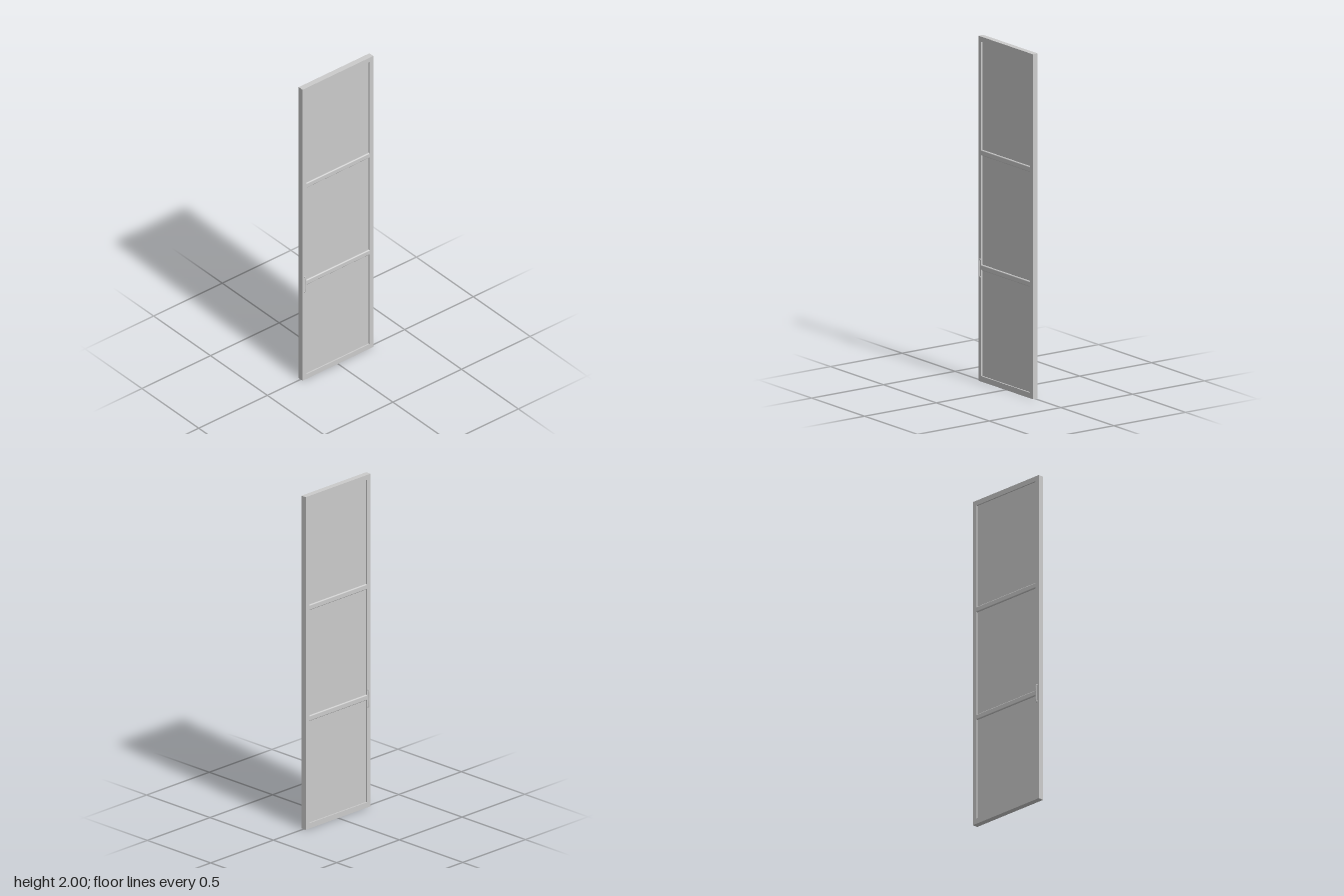
import * as THREE from 'three';
import { RoundedBoxGeometry } from 'three/addons/geometries/RoundedBoxGeometry.js';

const mat = new THREE.MeshStandardMaterial({ color: 0xcccccc });
const HX = 0.017;   // half thickness
const HZ = 0.258;   // half width
const STILE = 0.028;

export function createModel() {
  const group = new THREE.Group();
  group.name = 'panelDoor';
  const add = (name, geometry, x, y, z) => {
    const mesh = new THREE.Mesh(geometry, mat);
    mesh.name = name;
    mesh.position.set(x, y, z);
    group.add(mesh);
    return mesh;
  };

  // Outer frame: one profile with a rectangular opening
  const rect = (path, z0, y0, z1, y1) =>
    path.moveTo(z0, y0).lineTo(z1, y0).lineTo(z1, y1).lineTo(z0, y1).closePath();
  const outline = rect(new THREE.Shape(), -HZ, 0, HZ, 2);
  outline.holes.push(rect(new THREE.Path(), -HZ + STILE, 0.032, HZ - STILE, 1.97));
  const frame = new THREE.ExtrudeGeometry(outline, { depth: 2 * HX, bevelEnabled: false });
  frame.translate(0, 0, -HX).rotateY(Math.PI / 2);
  add('outerFrame', frame, 0, 0, 0);

  // Softly rounded cross rails
  for (const y of [0.661, 1.327])
    add('crossRail', new RoundedBoxGeometry(2 * HX, 0.033, 2 * (HZ - STILE) + 0.02, 3, 0.006), 0, y, 0);

  // Recessed infill panels
  for (const [y0, y1] of [[0.03, 0.65], [0.67, 1.32], [1.335, 1.972]])
    add('infillPanel', new THREE.BoxGeometry(0.018, y1 - y0, 2 * (HZ - STILE) + 0.004), 0, (y0 + y1) / 2, 0);

  // Slim pull handles on both faces, bowed out from the front stile
  for (const side of [-1, 1]) {
    const curve = new THREE.CatmullRomCurve3(
      [[0.014, 0.602], [0.02, 0.606], [0.021, 0.655], [0.02, 0.704], [0.014, 0.708]]
        .map(([x, y]) => new THREE.Vector3(side * x, y, 0.241)));
    add('pullHandle', new THREE.TubeGeometry(curve, 32, 0.003, 8), 0, 0, 0);
    for (const y of [0.604, 0.706]) {
      const foot = add('handleFoot', new THREE.CylinderGeometry(0.005, 0.006, 0.006, 12), side * 0.0185, y, 0.241);
      foot.rotation.z = -side * Math.PI / 2;
    }
  }
  return group;
}
